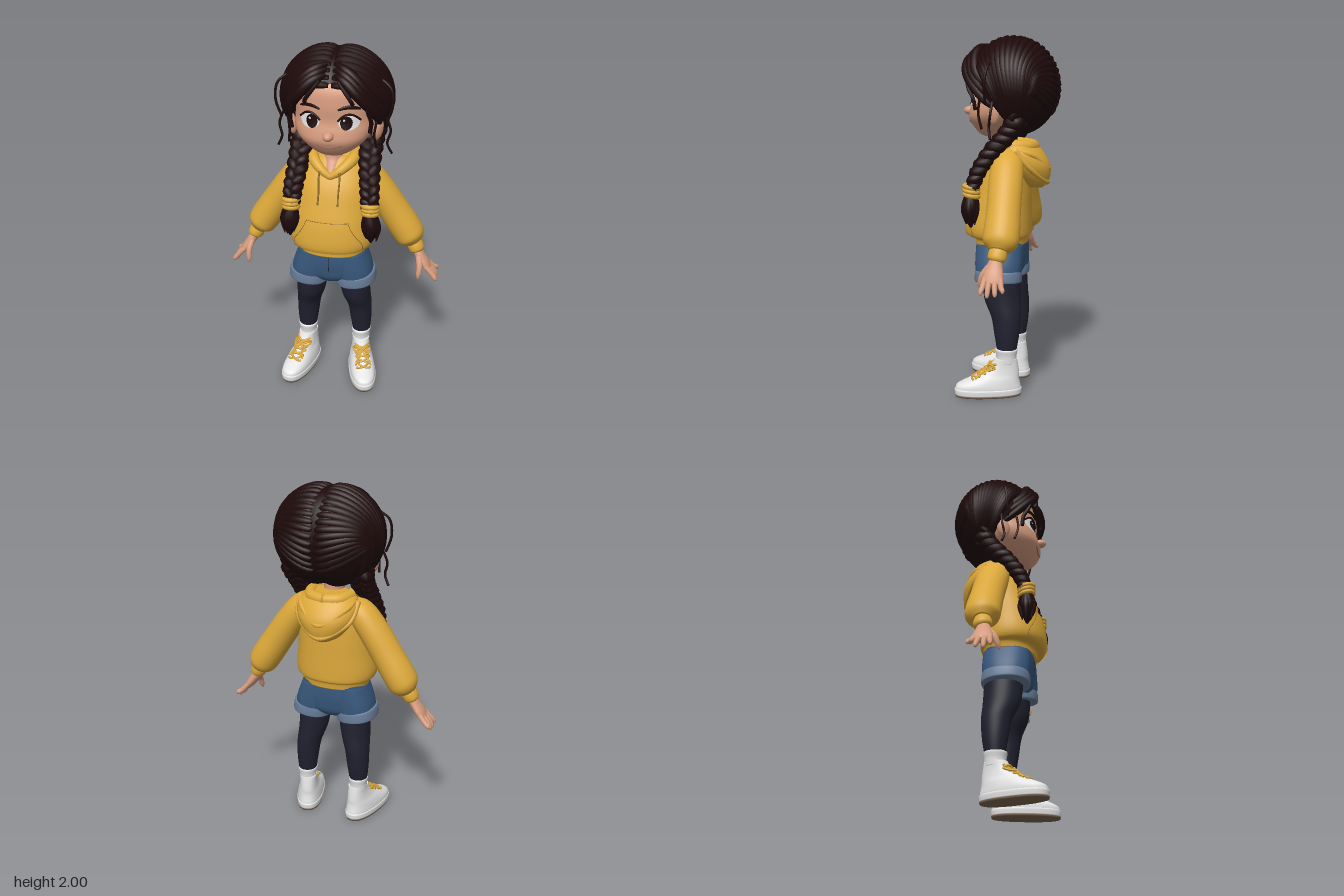
import * as THREE from 'three';
import { ParametricGeometry } from 'three/addons/geometries/ParametricGeometry.js';

const V = (x, y, z) => new THREE.Vector3(x, y, z);
const mat = (name, color, side = THREE.FrontSide) => {
  const m = new THREE.MeshStandardMaterial({ color, side });
  m.name = name;
  return m;
};

// Smooth interpolation through rows of numbers
function interp(keys, t) {
  const n = keys.length - 1, f = Math.min(Math.max(t, 0), 1) * n, i = Math.min(Math.floor(f), n - 1), k = f - i;
  const row = (j) => keys[Math.min(Math.max(j, 0), n)];
  return keys[0].map((_, c) => {
    const a = row(i - 1)[c], b = row(i)[c], d = row(i + 1)[c], e = row(i + 2)[c];
    return b + 0.5 * k * (d - a + k * (2 * a - 5 * b + 4 * d - e + k * (3 * (b - d) + e - a)));
  });
}

// Capped tube through rows [x, y, z, radiusU, radiusV]; flat keeps the rings horizontal (rows must rise)
function sweep(keys, { steps = 24, sides = 20, e = 2, flat = false, ref = V(0, 0, 1) } = {}) {
  const pos = [], idx = [], P = (t) => V(...interp(keys, t).slice(0, 3));
  let u = flat ? V(1, 0, 0) : ref.clone();
  const pw = (c) => Math.sign(c) * Math.abs(c) ** (2 / e);
  for (let i = 0; i <= steps; i++) {
    const t = i / steps, r = interp(keys, t), p = P(t);
    const T = flat ? V(0, 1, 0) : P(t + 0.01).sub(P(t - 0.01)).normalize();
    u = u.clone().addScaledVector(T, -u.dot(T)).normalize();
    const v = T.clone().cross(u);
    for (let j = 0; j < sides; j++) {
      const a = (j / sides) * Math.PI * 2;
      const q = p.clone().addScaledVector(u, pw(Math.cos(a)) * r[3]).addScaledVector(v, pw(Math.sin(a)) * r[4]);
      pos.push(q.x, q.y, q.z);
      if (i < steps) {
        const A = i * sides + j, B = i * sides + ((j + 1) % sides);
        idx.push(A, B, A + sides, B, B + sides, A + sides);
      }
    }
  }
  const c0 = pos.length / 3, last = steps * sides;
  pos.push(...P(0).toArray(), ...P(1).toArray());
  for (let j = 0; j < sides; j++) {
    const k = (j + 1) % sides;
    idx.push(c0, k, j, c0 + 1, last + j, last + k);
  }
  const g = new THREE.BufferGeometry();
  g.setAttribute('position', new THREE.Float32BufferAttribute(pos, 3));
  g.setIndex(idx);
  g.computeVertexNormals();
  return g;
}
const loft = (keys, e = 2, steps = 30) => sweep(keys, { flat: true, e, steps, sides: 40 });
const cord = (pts, r, steps = 16) => sweep(pts.map((p) => [...p, r, r]), { steps, sides: 6, ref: V(0.3, 0.4, 0.85) });

// Front surface of a loft at x, y
function frontZ(keys, e, x, y) {
  let lo = 0, hi = 1;
  for (let i = 0; i < 24; i++) {
    const m = (lo + hi) / 2;
    if (interp(keys, m)[1] < y) lo = m; else hi = m;
  }
  const [cx, , cz, rx, rz] = interp(keys, lo);
  return cz + rz * Math.max(0, 1 - Math.abs((x - cx) / rx) ** e) ** (1 / e);
}

function add(parent, name, geo, material) {
  const m = new THREE.Mesh(geo, material);
  m.name = name;
  parent.add(m);
  return m;
}
function group(parent, name) {
  const g = new THREE.Group();
  g.name = name;
  if (parent) parent.add(g);
  return g;
}
// Adds a group and its mirror image with corrected winding
function pair(parent, g, name) {
  g.name = 'left' + name;
  g.updateMatrixWorld(true);
  const m = group(parent, 'right' + name);
  g.traverse((o) => {
    if (!o.isMesh) return;
    const geo = o.geometry.clone().applyMatrix4(o.matrixWorld).scale(-1, 1, 1), a = geo.index.array;
    for (let i = 0; i < a.length; i += 3) [a[i], a[i + 1]] = [a[i + 1], a[i]];
    add(m, o.name, geo, o.material);
  });
  parent.add(g);
}

const HEAD = [[0, 1.445, 0.1, 0.02, 0.02], [0, 1.46, 0.095, 0.075, 0.065], [0, 1.5, 0.07, 0.14, 0.125],
  [0, 1.55, 0.045, 0.19, 0.175], [0, 1.6, 0.02, 0.212, 0.195], [0, 1.66, 0, 0.212, 0.2], [0, 1.74, -0.01, 0.21, 0.21],
  [0, 1.83, -0.02, 0.2, 0.2], [0, 1.91, -0.03, 0.13, 0.13], [0, 1.94, -0.03, 0.03, 0.03]];
const TORSO = [[0, 0.85, 0.045, 0.19, 0.145], [0, 0.885, 0.045, 0.2, 0.15], [0, 0.9, 0.058, 0.225, 0.176],
  [0, 0.95, 0.062, 0.235, 0.182], [0, 1.05, 0.055, 0.225, 0.175], [0, 1.15, 0.04, 0.215, 0.16],
  [0, 1.25, 0.025, 0.205, 0.14], [0, 1.33, 0.01, 0.18, 0.11], [0, 1.38, 0, 0.13, 0.085], [0, 1.41, 0, 0.08, 0.06]];
const SHOE = [[0, 0.01, 0.095, 0.074, 0.182], [0, 0.045, 0.095, 0.076, 0.185], [0, 0.07, 0.09, 0.074, 0.175],
  [0, 0.1, 0.06, 0.067, 0.14], [0, 0.13, 0.03, 0.057, 0.11], [0, 0.17, 0.005, 0.051, 0.08], [0, 0.215, -0.005, 0.05, 0.062]];

export function createModel() {
  const root = group(null, 'girl');
  const hair = mat('dark hair', 0x1e090a, THREE.DoubleSide), skin = mat('skin', 0xd59b7e), yellow = mat('yellow', 0xdca83a, THREE.DoubleSide),
    seam = mat('seam', 0x94702a), denim = mat('denim', 0x38587c), cuffBlue = mat('pale denim', 0x687d98),
    tights = mat('tights', 0x20212f), white = mat('white', 0xe4e4e4), soleBrown = mat('sole brown', 0x7a6450), lip = mat('lip', 0x9a5f4e);

  // Head and face
  const head = group(root, 'head');
  head.position.x = 0.01;
  const face = (x, y, off = 0) => [x, y, frontZ(HEAD, 2.4, x, y) + off];
  const decal = (cx, cy, rx, ry, off, dome = 0) => new ParametricGeometry((u, v, p) => {
    const r = 1.001 - v, a = u * Math.PI * 2;
    p.set(...face(cx + rx * r * Math.cos(a), cy + ry * r * Math.sin(a), off + dome * (1 - r * r)));
  }, 28, 6);
  add(head, 'face', loft(HEAD, 2.4, 48), skin);
  add(head, 'neck', loft([[-0.01, 1.29, 0.035, 0.015, 0.08], [-0.01, 1.33, 0.038, 0.035, 0.092], [-0.01, 1.37, 0.025, 0.055, 0.075],
    [-0.01, 1.42, 0.015, 0.056, 0.06], [-0.01, 1.52, 0.02, 0.06, 0.06]]), skin);
  add(head, 'nose', new THREE.SphereGeometry(1, 20, 14).scale(0.029, 0.025, 0.04).translate(0, 1.59, 0.22), skin);
  add(head, 'mouth', cord([-0.066, -0.033, 0, 0.033, 0.066].map((x) => face(x, 1.522 + 4 * x * x, 0.001)), 0.0035), lip);
  for (const s of [-1, 1]) {
    const x = s * 0.102, arc = (w, y, h) => [-1, -0.5, 0, 0.5, 1].map((k) => face(x + k * w, y + h * (1 - k * k), 0.006));
    add(head, 'eyeWhite', decal(x, 1.663, 0.054, 0.042, 0.002, 0.004), white);
    add(head, 'iris', decal(x - s * 0.012, 1.66, 0.031, 0.036, 0.006, 0.002), hair);
    add(head, 'eyeGlint', decal(x - s * 0.012 - 0.011, 1.675, 0.006, 0.006, 0.009), white);
    add(head, 'lashes', cord(arc(0.056, 1.67, 0.036), 0.006), hair);
    add(head, 'eyebrow', sweep(arc(0.054, 1.73, 0.014).map((p, i) => [...p, 0.005, [0.005, 0.009, 0.01, 0.009, 0.005][i]]), { sides: 8 }), hair);
  }
  const ear = group(null, '');
  const lobe = add(ear, 'ear', new THREE.SphereGeometry(1, 18, 12).scale(0.024, 0.06, 0.038), skin);
  lobe.position.set(0.232, 1.58, 0.045);
  lobe.rotation.set(-0.15, -0.45, -0.15);
  pair(head, ear, 'Ear');

  // Hair cap: an ellipsoid with a central parting and an open face
  const hairGroup = group(root, 'hair');
  hairGroup.position.x = 0.01;
  const onHair = (d, k = 1) => {
    d = d.clone().normalize();
    const f = k * (1 - 0.07 * Math.exp(-((d.x / 0.15) ** 2)));
    return [0.3 * d.x * f, 1.72 + 0.285 * d.y * f, -0.028 + 0.255 * d.z * f];
  };
  const hairline = [[58], [63], [80], [97], [118], [140], [155], [162], [165], [166]];
  add(hairGroup, 'hairCap', new ParametricGeometry((u, v, p) => {
    const a = u * Math.PI * 2, back = Math.min(a, Math.PI * 2 - a) / Math.PI;
    const b = 0.01 + (1 - v) * interp(hairline, back)[0] * Math.PI / 180;
    p.set(...onHair(V(Math.sin(b) * Math.sin(a), Math.cos(b), Math.sin(b) * Math.cos(a)), 0.98));
  }, 72, 28), hair);
  add(hairGroup, 'scalp', new THREE.SphereGeometry(1, 32, 20).scale(0.225, 0.25, 0.2).translate(0, 1.73, -0.06), hair);

  // Locks sweep from the parting to the plait roots
  const side = group(null, '');
  for (let i = 0; i < 22; i++) {
    const b = (30 + i * 8.8) * Math.PI / 180, c = Math.cos(b), s = Math.sin(b);
    const dirs = [[0.04, s, c], [0.86, 0.3 * s + 0.1, 0.6 * c], [0.67, -0.79, -0.15 - i * 0.009]];
    const keys = [];
    for (let k = 0; k <= 10; k++) {
      const r = 0.01 + 0.018 * Math.sin(Math.PI * Math.min(1, 0.1 + k * 0.08));
      keys.push([...onHair(V(...interp(dirs, k / 10)), 0.94), r, r]);
    }
    add(side, 'lock', sweep(keys, { steps: 26, sides: 8, ref: V(0.5, 0.3, 0.8) }), hair);
  }
  // Full fringe locks curving off the forehead
  for (let i = 0; i < 3; i++) {
    const o = i * 0.022, r = 0.027;
    add(side, 'fringeLock', sweep([[0.025, 1.9 + o, 0.165 - o, 0.012, 0.012], [0.085, 1.875 + o, 0.2 - o, r, r], [0.15, 1.81 + o * 1.2, 0.21 - o, r, r],
      [0.205, 1.735 + o, 0.165 - o * 0.6, r, r], [0.24, 1.65 + o, 0.09 - o, 0.02, 0.02], [0.235, 1.6, 0.02, 0.008, 0.008]], { sides: 10 }), hair);
  }
  // Loose wisps
  const wisps = [[[0.05, 1.88, 0.2], [0.08, 1.84, 0.215], [0.115, 1.79, 0.22], [0.125, 1.765, 0.21]],
    [[0.12, 1.87, 0.2], [0.18, 1.8, 0.2], [0.2, 1.72, 0.19], [0.212, 1.66, 0.16], [0.205, 1.6, 0.15]],
    [[0.24, 1.76, 0.11], [0.235, 1.66, 0.12], [0.225, 1.58, 0.13], [0.235, 1.5, 0.11]],
    [[0.24, 1.86, 0.05], [0.3, 1.81, 0.07], [0.31, 1.72, 0.08], [0.28, 1.63, 0.08]],
    [[0.27, 1.66, 0.04], [0.3, 1.58, 0.05], [0.285, 1.51, 0.06], [0.31, 1.45, 0.05]]];
  wisps.forEach((w, i) => add(side, 'wisp', cord(w, i < 2 ? 0.011 : 0.007), hair));
  // Three-strand plait, bands and tuft
  const path = [[0.2, 1.56, -0.08], [0.19, 1.47, -0.02], [0.195, 1.37, 0.07], [0.208, 1.26, 0.14], [0.216, 1.165, 0.17]];
  for (let k = 0; k < 3; k++) {
    const keys = [];
    for (let i = 0; i <= 48; i++) {
      const t = i / 48, a = t * Math.PI * 6.5 + k * Math.PI * 2 / 3, w = 1.1 - 0.35 * t, p = interp(path, t);
      const d = 0.02 * w * Math.sin(2 * a);
      keys.push([p[0] + 0.034 * w * Math.cos(a), p[1] + d * 0.6, p[2] + d * 0.8, 0.034 * w, 0.034 * w]);
    }
    add(side, 'plaitStrand', sweep(keys, { steps: 72, sides: 10, ref: V(1, 0, 0) }), hair);
  }
  for (const y of [1.185, 1.163, 1.141]) add(side, 'hairBand', new THREE.TorusGeometry(0.037, 0.014, 10, 24).rotateX(1.35).translate(0.218, y, 0.172), yellow);
  add(side, 'tuft', sweep([[0.219, 1.16, 0.172, 0.03, 0.03], [0.222, 1.09, 0.175, 0.048, 0.05], [0.224, 1.04, 0.178, 0.042, 0.045], [0.226, 0.965, 0.174, 0.006, 0.006]]), hair);
  for (let i = 0; i < 5; i++) {
    const a = i * 1.257, x = Math.cos(a), z = Math.sin(a);
    add(side, 'tuftTip', sweep([[0.221 + x * 0.02, 1.13, 0.173 + z * 0.02, 0.02, 0.02], [0.225 + x * 0.036, 1.06, 0.176 + z * 0.033, 0.02, 0.02],
      [0.226 + x * 0.03, 0.975 + 0.01 * (i % 3), 0.174 + z * 0.025, 0.003, 0.003]], { sides: 8 }), hair);
  }
  pair(hairGroup, side, 'Hair');

  // Hoodie
  const hoodie = group(root, 'hoodie');
  const chest = (x, y, off) => [x, y, frontZ(TORSO, 2.2, x, y) + off];
  add(hoodie, 'torso', loft(TORSO, 2.2, 60), yellow);
  const pocketW = (v) => 0.115 + 0.075 * Math.min(1, (1 - v) * 1.4) ** 1.3;
  add(hoodie, 'pocket', new ParametricGeometry((u, v, p) => p.set(...chest((u * 2 - 1) * pocketW(v), 0.905 + 0.18 * v, 0.007)), 24, 12), yellow);
  const rim = [0, 0.25, 0.5, 0.75, 1].map((v) => chest(pocketW(v), 0.905 + 0.18 * v, 0.007));
  add(hoodie, 'pocketTopSeam', cord([-1, -0.5, 0, 0.5, 1].map((k) => chest(0.115 * k, 1.085, 0.007)), 0.002), seam);
  add(hoodie, 'hood', loft([[0, 1.165, -0.14, 0.04, 0.045], [0, 1.2, -0.132, 0.1, 0.088], [0, 1.28, -0.1, 0.16, 0.128],
    [0, 1.35, -0.07, 0.175, 0.125], [0, 1.4, -0.05, 0.15, 0.1], [0, 1.42, -0.04, 0.11, 0.07]]), yellow);
  for (const [w, y, z] of [[0.17, 1.195, -0.212], [0.15, 1.27, -0.218]])
    add(hoodie, 'hoodFold', sweep([[-w, 1.38, -0.06], [-w * 0.85, y + 0.08, z + 0.07], [0, y, z], [w * 0.85, y + 0.08, z + 0.07], [w, 1.38, -0.06]]
      .map((p) => [...p, 0.015, 0.015]), { ref: V(0, 0.3, 1), sides: 10, steps: 32 }), yellow);

  const half = group(null, '');
  add(half, 'pocketSeam', cord(rim, 0.002), seam);
  add(half, 'collar', sweep([[-0.005, 1.312, 0.125, 0.018, 0.018], [0.055, 1.352, 0.11, 0.026, 0.026], [0.105, 1.39, 0.055, 0.032, 0.032],
    [0.115, 1.4, -0.03, 0.034, 0.034], [0.08, 1.395, -0.11, 0.034, 0.034], [-0.01, 1.39, -0.135, 0.034, 0.034]], { ref: V(0, 1, 0), sides: 14 }), yellow);
  add(half, 'drawstring', cord([[0.055, 1.35, 0.138], [0.057, 1.3, 0.157], chest(0.054, 1.24, 0.007), chest(0.055, 1.175, 0.007)], 0.005), seam);
  add(half, 'sleeve', sweep([[0.1, 1.335, -0.01, 0.07, 0.06], [0.17, 1.3, -0.015, 0.088, 0.078], [0.245, 1.21, -0.02, 0.093, 0.083], [0.328, 1.085, -0.025, 0.092, 0.086],
    [0.4, 0.975, -0.028, 0.096, 0.088], [0.435, 0.918, -0.026, 0.09, 0.08], [0.456, 0.884, -0.022, 0.05, 0.048]], { steps: 36, sides: 28 }), yellow);
  add(half, 'cuff', sweep([[0.45, 0.895, -0.02, 0.044, 0.042], [0.462, 0.87, -0.018, 0.05, 0.045], [0.474, 0.845, -0.015, 0.048, 0.043], [0.479, 0.833, -0.013, 0.035, 0.032]]), yellow);
  // Hand
  add(half, 'palm', sweep([[0.47, 0.85, -0.012, 0.03, 0.028], [0.495, 0.808, -0.008, 0.043, 0.027], [0.525, 0.765, -0.006, 0.053, 0.025],
    [0.552, 0.728, -0.006, 0.046, 0.015]]), skin);
  [[-0.044, -0.066, 0.695], [-0.017, -0.027, 0.675], [0.01, 0.013, 0.668], [0.034, 0.047, 0.682]].forEach(([z0, z1, y]) =>
    add(half, 'finger', sweep([[0.53, 0.76, z0, 0.015, 0.015], [0.568, 0.72, (z0 + z1) / 2, 0.0145, 0.015],
      [0.588, y + 0.014, z1, 0.012, 0.013], [0.595, y, z1, 0.005, 0.005]], { sides: 10, steps: 14 }), skin));
  add(half, 'thumb', sweep([[0.488, 0.815, 0.015, 0.019, 0.019], [0.498, 0.77, 0.05, 0.018, 0.018], [0.496, 0.725, 0.068, 0.014, 0.014],
    [0.493, 0.698, 0.074, 0.005, 0.005]], { sides: 10, steps: 14, ref: V(1, 0, 0) }), skin);
  pair(hoodie, half, 'Arm');

  // Shorts, legs and shoes
  const lower = group(root, 'lowerBody');
  add(lower, 'shortsSeat', loft([[0, 0.665, 0.042, 0.08, 0.1], [0, 0.7, 0.042, 0.18, 0.122], [0, 0.75, 0.042, 0.205, 0.132], [0, 0.8, 0.042, 0.2, 0.137], [0, 0.87, 0.042, 0.185, 0.135]], 2.6), denim);
  add(lower, 'flySeam', cord([[0, 0.85, 0.178], [0, 0.79, 0.179], [0, 0.73, 0.169]], 0.002), tights);
  const leg = group(null, '');
  add(leg, 'shortsLeg', loft([[0.133, 0.66, 0.042, 0.108, 0.125], [0.12, 0.75, 0.042, 0.106, 0.132], [0.1, 0.85, 0.042, 0.09, 0.13]], 2.3), denim);
  const roll = add(leg, 'shortsCuff', loft([[0, -0.032, 0, 0.104, 0.122], [0, -0.026, 0, 0.116, 0.131], [0, 0.022, 0, 0.115, 0.13], [0, 0.03, 0, 0.104, 0.12]], 2.3), cuffBlue);
  roll.position.set(0.134, 0.677, 0.042);
  roll.rotation.z = 0.11;
  add(leg, 'tightsLeg', loft([[0.163, 0.2, -0.008, 0.044, 0.05], [0.163, 0.27, -0.01, 0.053, 0.057], [0.16, 0.35, -0.01, 0.062, 0.07], [0.152, 0.45, -0.004, 0.07, 0.083],
    [0.133, 0.55, 0.02, 0.083, 0.102], [0.118, 0.7, 0.03, 0.092, 0.106]]), tights);
  add(leg, 'sock', loft([[0.163, 0.19, -0.008, 0.05, 0.056], [0.163, 0.23, -0.008, 0.051, 0.058], [0.163, 0.262, -0.008, 0.056, 0.063], [0.163, 0.27, -0.008, 0.05, 0.056]]), white);
  const shoe = group(leg, 'shoe');
  shoe.position.x = 0.163;
  shoe.rotation.y = 0.26;
  const top = (x, y, off = 0.004) => [x, y, frontZ(SHOE, 2.4, x, y) + off];
  add(shoe, 'shoeUpper', loft(SHOE, 2.4, 40), white);
  add(shoe, 'midsole', loft([[0, 0.01, 0.095, 0.078, 0.187], [0, 0.038, 0.095, 0.08, 0.19], [0, 0.045, 0.095, 0.076, 0.184]], 2.4, 8), white);
  add(shoe, 'sole', loft([[0, 0, 0.095, 0.076, 0.185], [0, 0.011, 0.095, 0.079, 0.189]], 2.4, 2), soleBrown);
  for (let i = 0; i < 5; i++) for (const s of [-1, 1])
    add(shoe, 'lace', cord([-1, -0.4, 0.4, 1].map((k) => top(s * k * 0.041, 0.11 + i * 0.017 + k * 0.008)), 0.0065, 8), yellow);
  for (const s of [-1, 1]) {
    add(shoe, 'laceLoop', cord([top(0, 0.165, 0.008), top(s * 0.03, 0.183, 0.018), top(s * 0.05, 0.165, 0.026), top(s * 0.03, 0.15, 0.016), top(0, 0.165, 0.008)], 0.006), yellow);
    add(shoe, 'laceEnd', cord([top(0, 0.165, 0.008), top(s * 0.028, 0.135, 0.013), top(s * 0.045, 0.108, 0.012)], 0.005), yellow);
  }
  pair(lower, leg, 'Leg');
  return root;
}
